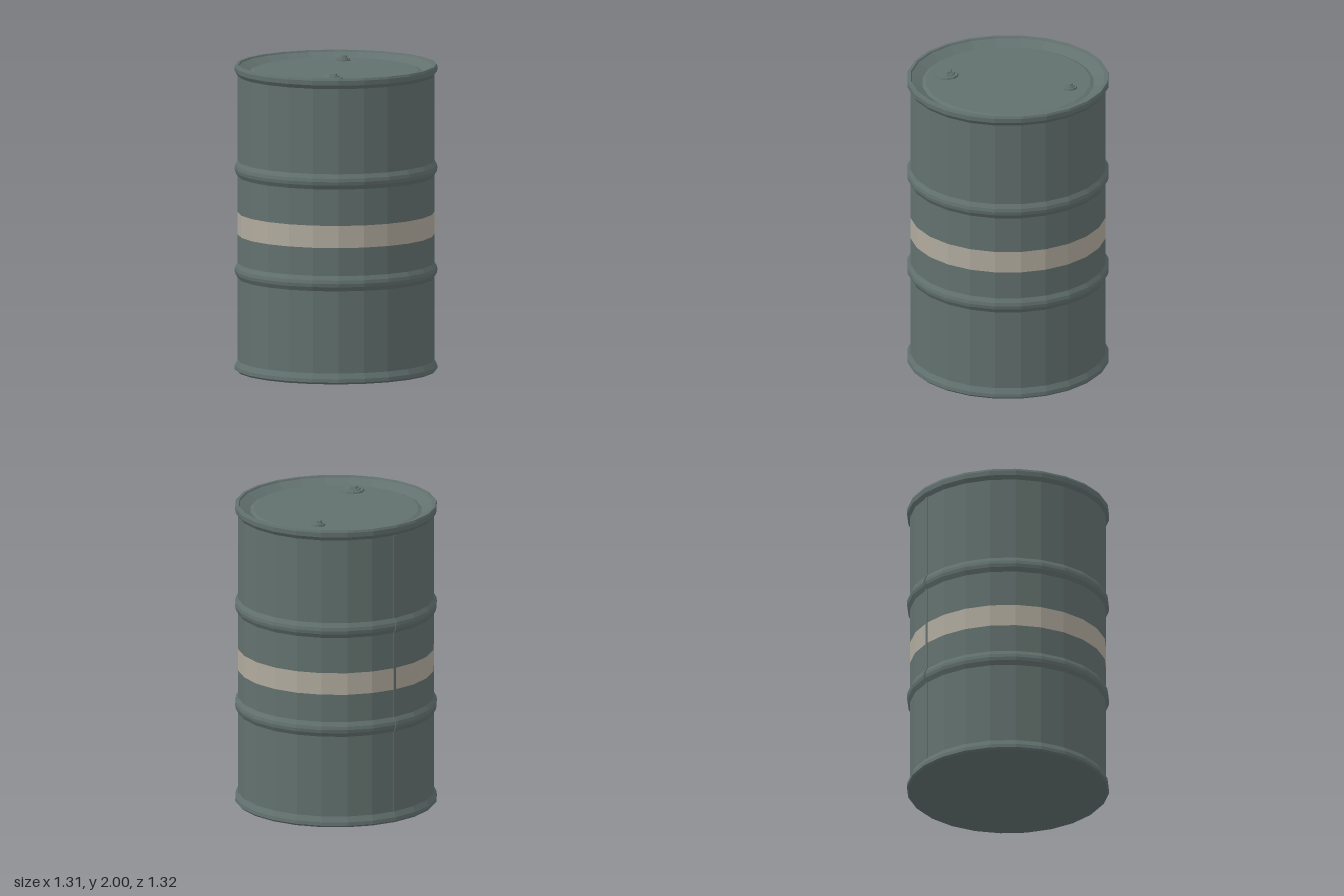
import * as THREE from 'three';

const SIDES = 24;
const BODY_R = 0.637;

// Split faces so every facet gets its own flat normal
function faceted(geometry) {
  const flat = geometry.toNonIndexed();
  flat.computeVertexNormals();
  return flat;
}

function part(name, geometry, material) {
  const mesh = new THREE.Mesh(faceted(geometry), material);
  mesh.name = name;
  return mesh;
}

const lathe = (points, sides = SIDES, start = 0, length = Math.PI * 2) =>
  new THREE.LatheGeometry(points.map(([r, y]) => new THREE.Vector2(r, y)), sides, start, length);

// Rolled hoop swelling out of the wall around height y
const hoop = (y) => [
  [BODY_R, y - 0.05], [0.653, y - 0.022], [0.657, y], [0.653, y + 0.022], [BODY_R, y + 0.05],
];

export function createModel() {
  const paint = new THREE.MeshStandardMaterial({ color: 0x62716e });
  paint.name = 'greyGreenPaint';
  const cream = new THREE.MeshStandardMaterial({ color: 0xb0aa9d });
  cream.name = 'creamStripe';

  const drum = new THREE.Group();
  drum.name = 'drum';

  // Wall profile on either side of the painted stripe
  const stripeLow = 0.89, stripeHigh = 1.035;
  const bottomChime = [[0.645, 0], [0.657, 0.012], [0.655, 0.035], [BODY_R, 0.07]];
  const topChime = [[BODY_R, 1.93], [0.655, 1.955], [0.657, 1.985], [0.651, 2]];
  const lowerWall = [...bottomChime, ...hoop(0.657), [BODY_R, stripeLow]];
  const upperWall = [[BODY_R, stripeHigh], ...hoop(1.323), ...topChime];

  // Recessed lid with a stepped panel
  const lid = [
    [0.651, 2], [0.632, 2], [0.626, 1.99], [0.558, 1.955], [0.535, 1.965], [0, 1.965],
  ];

  drum.add(part('lowerWall', lathe([[0, 0], ...lowerWall]), paint));
  drum.add(part('stripe', lathe([[BODY_R, stripeLow], [BODY_R, stripeHigh]]), cream));
  drum.add(part('upperWall', lathe(upperWall), paint));
  drum.add(part('lid', lathe(lid), paint));

  // Weld seam down the back, following the wall and hoops
  const raise = 0.005;
  const seamLine = [...lowerWall.slice(3), ...upperWall.slice(0, -3)].map(([r, y]) => [r + raise, y]);
  const seamProfile = [[0.63, 0.07], ...seamLine, [0.63, 1.93]];
  const halfAngle = 0.012;
  drum.add(part('seam', lathe(seamProfile, 1, Math.PI - halfAngle, halfAngle * 2), paint));
  // Narrow side walls of the seam
  for (const side of [-1, 1]) {
    const a = Math.PI + side * halfAngle;
    const positions = [], index = [];
    seamLine.forEach(([r, y], i) => {
      for (const q of [r, r - 0.012]) positions.push(Math.sin(a) * q, y, Math.cos(a) * q);
      if (i === 0) return;
      const k = i * 2;
      if (side > 0) index.push(k - 2, k - 1, k, k - 1, k + 1, k);
      else index.push(k - 2, k, k - 1, k - 1, k, k + 1);
    });
    const wall = new THREE.BufferGeometry();
    wall.setAttribute('position', new THREE.Float32BufferAttribute(positions, 3));
    wall.setIndex(index);
    drum.add(part('seamEdge', wall, paint));
  }

  // Screw plugs: round flange, collar and hexagonal head
  const plugs = [
    { name: 'largePlug', x: -0.32, z: 0.26, r: 0.083 },
    { name: 'smallPlug', x: 0.33, z: -0.25, r: 0.048 },
  ];
  for (const { name, x, z, r } of plugs) {
    const plug = new THREE.Group();
    plug.name = name;
    plug.position.set(x, 1.965, z);
    const flange = part('flange', new THREE.CylinderGeometry(r * 0.95, r, 0.012, 12), paint);
    flange.position.y = 0.006;
    const collar = part('collar', new THREE.CylinderGeometry(r * 0.66, r * 0.72, 0.008, 12), paint);
    collar.position.y = 0.016;
    const head = part('hexHead', new THREE.CylinderGeometry(r * 0.44, r * 0.56, 0.013, 6), paint);
    head.position.y = 0.0265;
    plug.add(flange, collar, head);
    drum.add(plug);
  }
  return drum;
}
